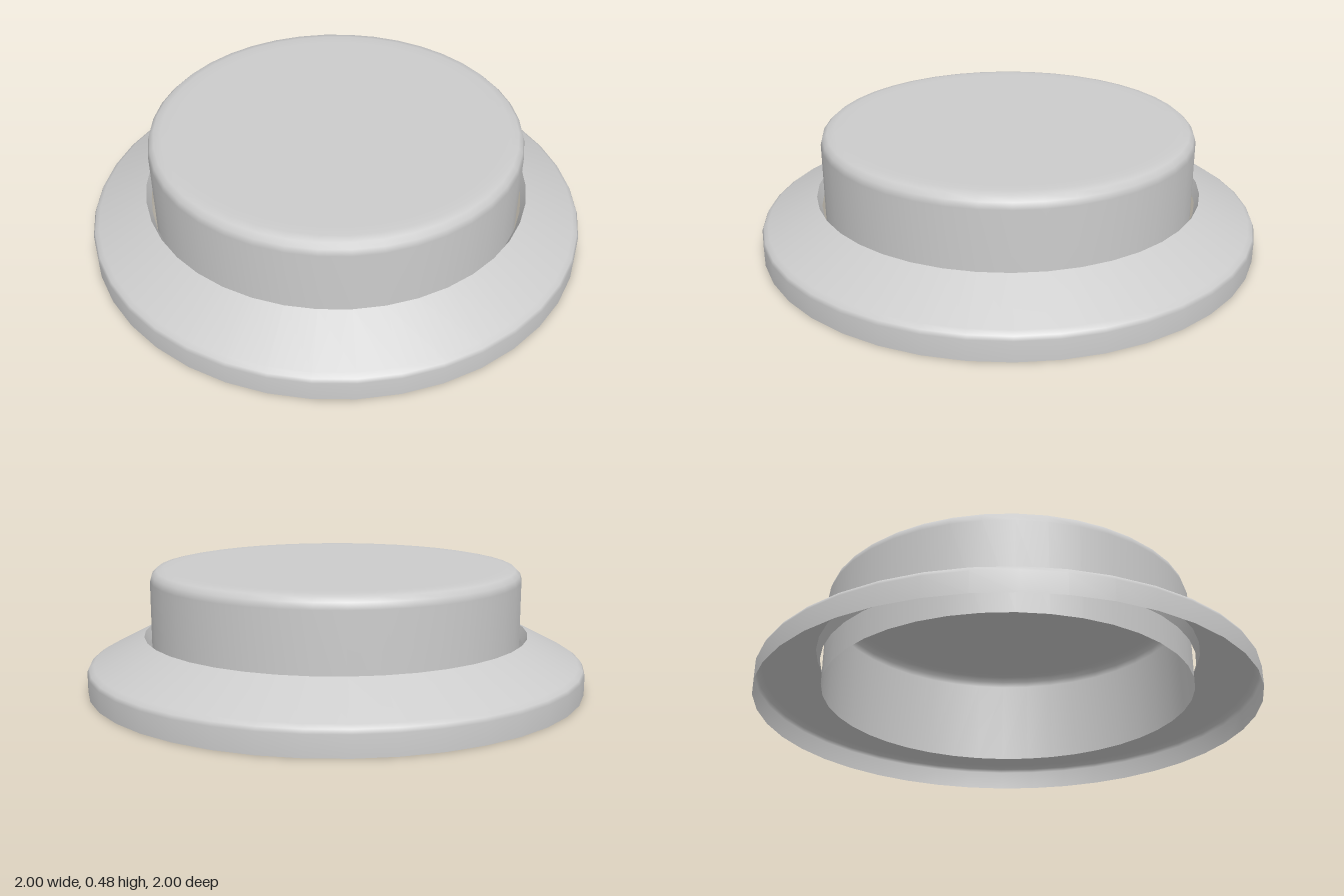
import * as THREE from 'three';

const SEGMENTS = 40;
const material = new THREE.MeshStandardMaterial({ color: 0xcccccc, side: THREE.DoubleSide });

// Thin revolved shell from [radius, height] pairs
function shell(name, profile) {
  const points = profile.map(([r, y]) => new THREE.Vector2(r, y));
  const mesh = new THREE.Mesh(new THREE.LatheGeometry(points, SEGMENTS), material);
  mesh.name = name;
  return mesh;
}

export function createModel() {
  const model = new THREE.Group();
  model.name = 'pushButton';

  // Flared surround, hollow underneath
  const bezel = new THREE.Group();
  bezel.name = 'bezel';
  bezel.add(
    shell('bezelFlare', [[1, 0], [1, 0.08], [0.993, 0.095], [0.975, 0.107], [0.775, 0.21]]),
    // Lip turned down around the opening
    shell('bezelLip', [[0.775, 0.21], [0.757, 0.17]])
  );

  // Round cap with a softened top edge, open below
  const cap = shell('buttonCap', [
    [0.745, 0.064], [0.745, 0.43], [0.738, 0.455], [0.72, 0.472], [0.69, 0.478], [0.64, 0.479], [0, 0.479]
  ]);

  model.add(bezel, cap);
  return model;
}
